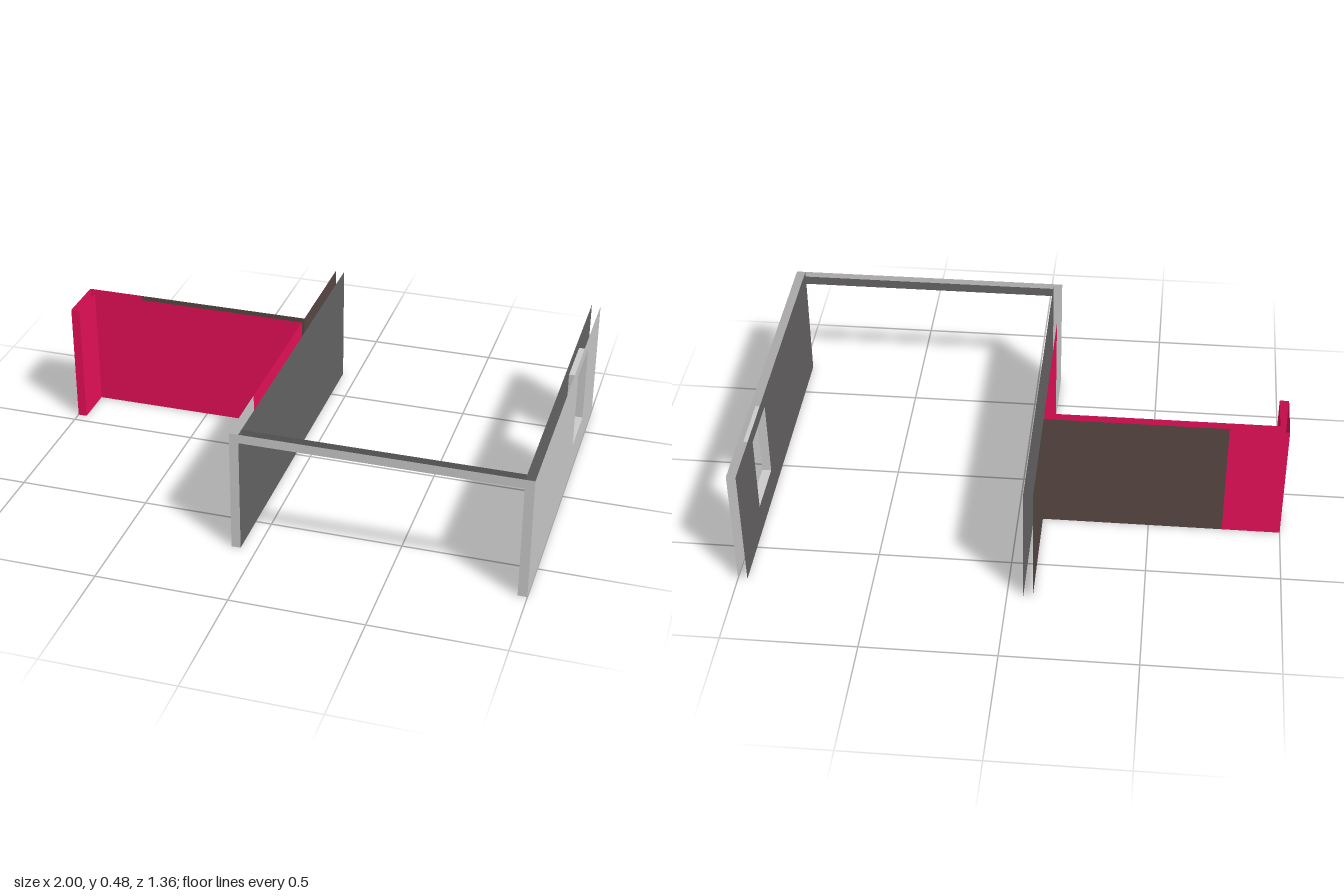
import * as THREE from 'three';

const H = 0.48;        // wall height
const T = 0.035;       // wall thickness
const D = 0.68;        // half depth
const MID = -0.06;     // inner face of the middle wall
const OUT = MID - T;   // outer face of the middle wall
const BACK = -0.235;   // rear face of the side wall

const paint = (color) => new THREE.MeshStandardMaterial({ color, side: THREE.DoubleSide });
const grey = paint(0xcccccc);
const inner = paint(0x676566);
const red = paint(0xe81059);
const brown = paint(0x584844);

// Turn about y, and sign of the horizontal axis, for each facing direction
const FACING = {
  '+z': [0, 1], '-z': [Math.PI, -1],
  '+x': [Math.PI / 2, -1], '-x': [-Math.PI / 2, 1],
};

function rectangle(Kind, a, b, y0, y1) {
  return new Kind([[a, y0], [b, y0], [b, y1], [a, y1]].map((p) => new THREE.Vector2(...p)));
}

export function createModel() {
  const model = new THREE.Group();

  function add(name, geometry, material) {
    const mesh = new THREE.Mesh(geometry, material);
    mesh.name = name;
    model.add(mesh);
  }

  // Upright flat panel at a given offset, spanning a..b sideways, with an optional opening
  function panel(name, material, facing, at, a, b, y0 = 0, y1 = H, hole = null) {
    const [turn, s] = FACING[facing];
    const span = (p, q) => [Math.min(s * p, s * q), Math.max(s * p, s * q)];
    const shape = rectangle(THREE.Shape, ...span(a, b), y0, y1);
    if (hole) shape.holes.push(rectangle(THREE.Path, ...span(hole[0], hole[1]), hole[2], hole[3]));
    const geometry = new THREE.ShapeGeometry(shape).rotateY(turn);
    if (facing[1] === 'x') geometry.translate(at, 0, 0);
    else geometry.translate(0, 0, at);
    add(name, geometry, material);
  }

  // Horizontal flat panel, facing up (1) or down (-1)
  function slab(name, material, y, x0, x1, z0, z1, up) {
    const geometry = new THREE.PlaneGeometry(x1 - x0, z1 - z0).rotateX(-up * Math.PI / 2);
    geometry.translate((x0 + x1) / 2, y, (z0 + z1) / 2);
    add(name, geometry, material);
  }

  // Window wall: two skins, open at top, bottom and back
  const win = [-0.405, -0.183, 0.12, 0.427];
  panel('windowWallOuter', grey, '+x', 1, -D, D, 0, H, win);
  panel('windowWallInner', inner, '-x', 1 - T, -D, D, 0, H, win);
  slab('windowSill', grey, win[2], 1 - T, 1, win[0], win[1], 1);
  slab('windowHead', grey, win[3], 1 - T, 1, win[0], win[1], -1);
  panel('windowJambBack', grey, '+z', win[0], 1 - T, 1, win[2], win[3]);
  panel('windowJambFront', grey, '-z', win[1], 1 - T, 1, win[2], win[3]);

  // Front frame: two wall ends and a beam
  const beamY = H - T;
  panel('windowWallEnd', grey, '+z', D, 1 - T, 1);
  panel('middleWallEnd', grey, '+z', D, OUT, MID);
  panel('beamFront', grey, '+z', D, MID, 1 - T, beamY, H);
  panel('beamBack', inner, '-z', D - T, MID, 1 - T, beamY, H);
  slab('beamUnderside', grey, beamY, MID, 1 - T, D - T, D, -1);

  // Middle wall: plain inner skin, outer skin in three paints
  panel('middleWallInner', inner, '+x', MID, -D, D);
  panel('middleWallOuterFront', grey, '-x', OUT, 0.4, D);
  panel('middleWallOuterCentre', red, '-x', OUT, BACK + T, 0.4);
  panel('middleWallOuterBack', brown, '-x', OUT, -D, BACK);

  // Side wall with a short return at its far end
  const returnZ = -0.04;
  panel('sideWallFront', red, '+z', BACK + T, -1 + T, OUT);
  panel('sideWallBack', brown, '-z', BACK, -0.78, OUT);
  panel('sideWallBackEnd', red, '-z', BACK, -1, -0.78);
  panel('returnOuter', red, '-x', -1, BACK, returnZ);
  panel('returnInner', red, '+x', -1 + T, BACK + T, returnZ);
  panel('returnEnd', red, '+z', returnZ, -1, -1 + T);

  return model;
}
